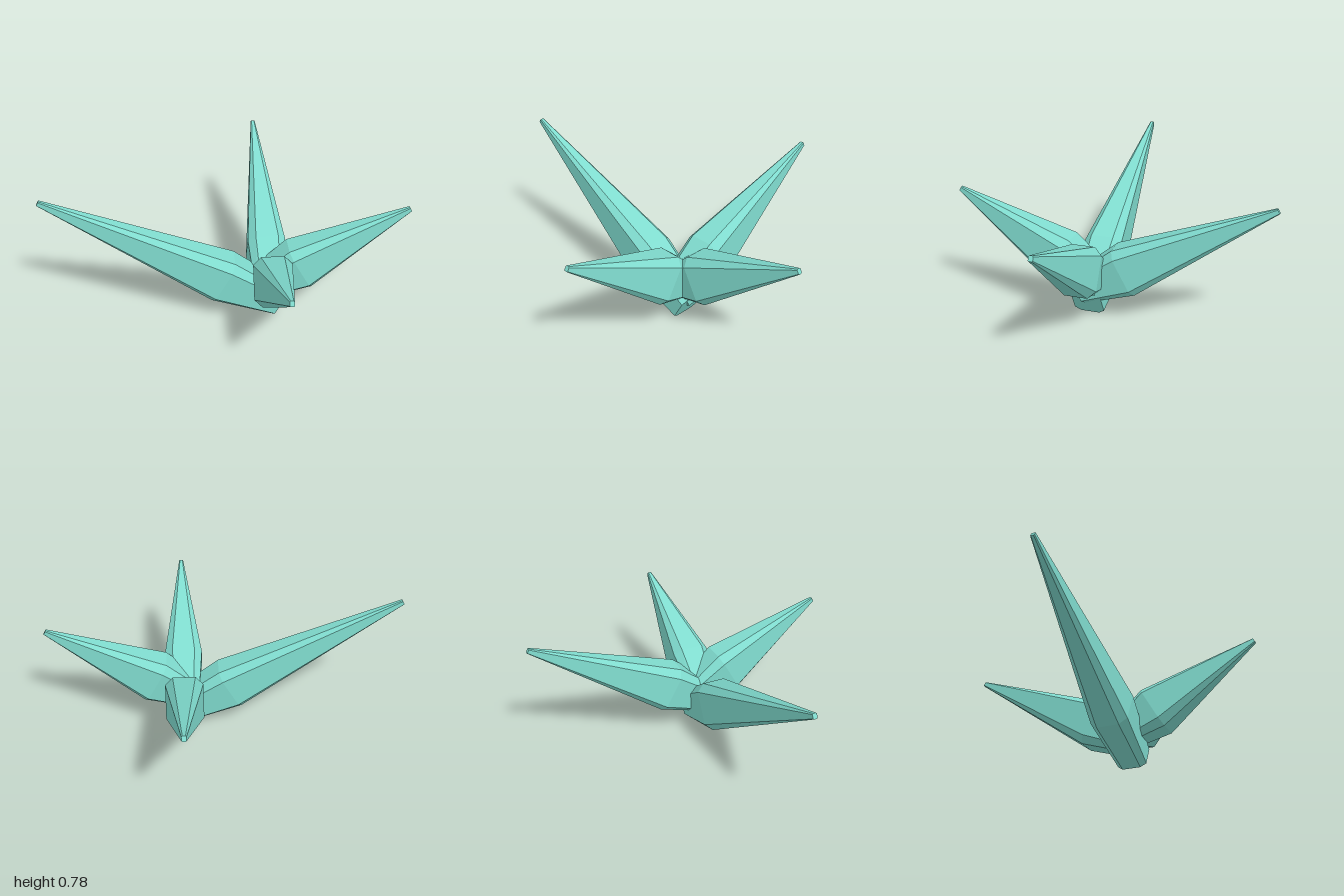
import * as THREE from 'three';

// Eight-sided cross-section (side, up): flat top/bottom half-width f, half-height H, half-width W, side corner height h
const section = (f, H, W, h) => [[f, H], [W, h], [W, -h], [f, -H], [-f, -H], [-W, -h], [-W, h], [-f, H]];

const SECTIONS = [
  { t: 0, ring: section(0.053, 0.084, 0.085, 0.058) }, // buried root
  { t: 0.25, ring: section(0.064, 0.137, 0.107, 0.095) }, // shoulder
  { t: 1, ring: section(0.007, 0.014, 0.012, 0.01) }, // blunt tip
];

// Faceted shard from root (x0, y0) to tip (x1, y1) in its own XY plane
function shardGeometry(x0, y0, x1, y1) {
  const len = Math.hypot(x1 - x0, y1 - y0);
  const c = (x1 - x0) / len, s = (y1 - y0) / len;
  const rings = SECTIONS.map(({ t, ring }) => ring.map(([side, up]) => [
    x0 + (x1 - x0) * t - s * up,
    y0 + (y1 - y0) * t + c * up,
    side,
  ]));
  const pos = [];
  const tri = (a, b, d) => pos.push(...a, ...b, ...d);
  // side facets
  for (let i = 0; i < rings.length - 1; i++) {
    for (let j = 0; j < 8; j++) {
      const k = (j + 1) % 8, P = rings[i], Q = rings[i + 1];
      tri(P[j], P[k], Q[k]);
      tri(P[j], Q[k], Q[j]);
    }
  }
  // end caps
  const root = rings[0], tip = rings[rings.length - 1];
  for (let j = 1; j < 7; j++) {
    tri(root[0], root[j + 1], root[j]);
    tri(tip[0], tip[j], tip[j + 1]);
  }
  const geo = new THREE.BufferGeometry();
  geo.setAttribute('position', new THREE.Float32BufferAttribute(pos, 3));
  geo.computeVertexNormals();
  return geo;
}

export function createModel() {
  const model = new THREE.Group();
  model.name = 'crystalCluster';
  const crystal = new THREE.MeshStandardMaterial({ color: 0x80dccf });
  crystal.name = 'turquoise crystal';
  crystal.flatShading = true;

  // name, heading, root and tip (distance outward, height)
  const shards = [
    ['rightCrystal', Math.PI, -0.055, 0.075, 1.22, 0.772],
    ['backCrystal', Math.PI / 2, -0.055, 0.145, 0.99, 0.708],
    ['leftCrystal', 0, -0.035, 0.205, 0.757, 0.643],
    ['frontCrystal', -Math.PI / 2, -0.035, 0.205, 0.757, 0.643],
  ];
  for (const [name, heading, ...ends] of shards) {
    const mesh = new THREE.Mesh(shardGeometry(...ends), crystal);
    mesh.name = name;
    mesh.position.set(0.23, 0, 0.115);
    mesh.rotation.y = heading;
    model.add(mesh);
  }
  return model;
}
